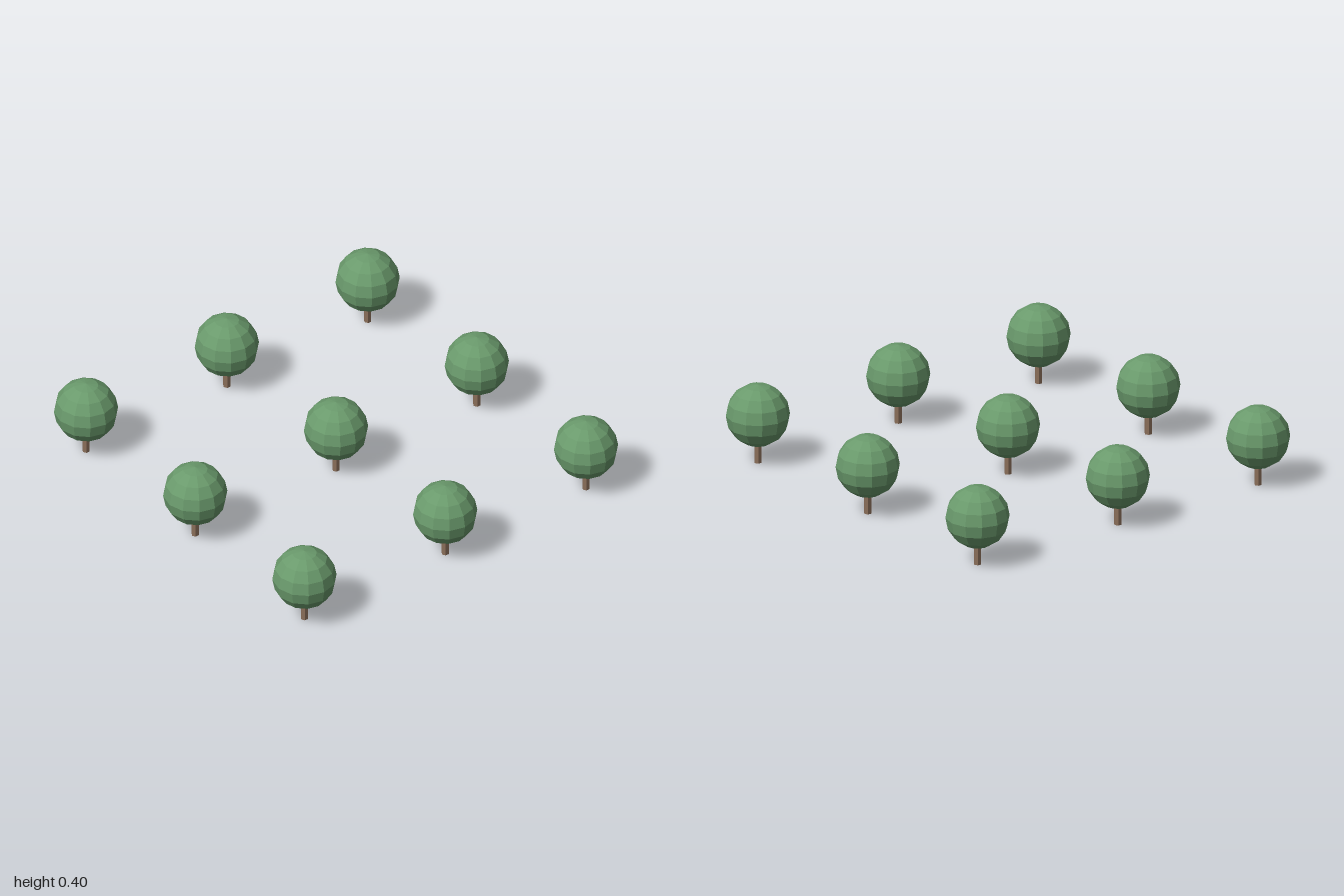
import * as THREE from 'three';

const SPACING = 0.846;      // distance between neighbouring trees
const CROWN_RADIUS = 0.154;
const CROWN_HEIGHT = 0.243; // height of the crown's centre
const TRUNK_RADIUS = 0.0185;
const TRUNK_HEIGHT = 0.15;

export function createModel() {
  const group = new THREE.Group();
  group.name = 'treeGrid';

  const leaves = new THREE.MeshStandardMaterial({ color: 0x6a9a6c, flatShading: true });
  const bark = new THREE.MeshStandardMaterial({ color: 0x8b6f5a, flatShading: true });

  // Faceted ball crown and six-sided trunk, shared by all trees
  const crownGeometry = new THREE.SphereGeometry(CROWN_RADIUS, 12, 8);
  const trunkGeometry = new THREE.CylinderGeometry(TRUNK_RADIUS, TRUNK_RADIUS, TRUNK_HEIGHT, 6);

  const makeTree = () => {
    const tree = new THREE.Group();
    tree.name = 'tree';

    const crown = new THREE.Mesh(crownGeometry, leaves);
    crown.name = 'crown';
    crown.position.y = CROWN_HEIGHT;

    const trunk = new THREE.Mesh(trunkGeometry, bark);
    trunk.name = 'trunk';
    trunk.position.y = TRUNK_HEIGHT / 2;

    tree.add(crown, trunk);
    return tree;
  };

  // Three rows of three trees
  for (let row = -1; row <= 1; row++) {
    for (let column = -1; column <= 1; column++) {
      const tree = makeTree();
      tree.position.set(column * SPACING, 0, row * SPACING);
      group.add(tree);
    }
  }

  return group;
}
